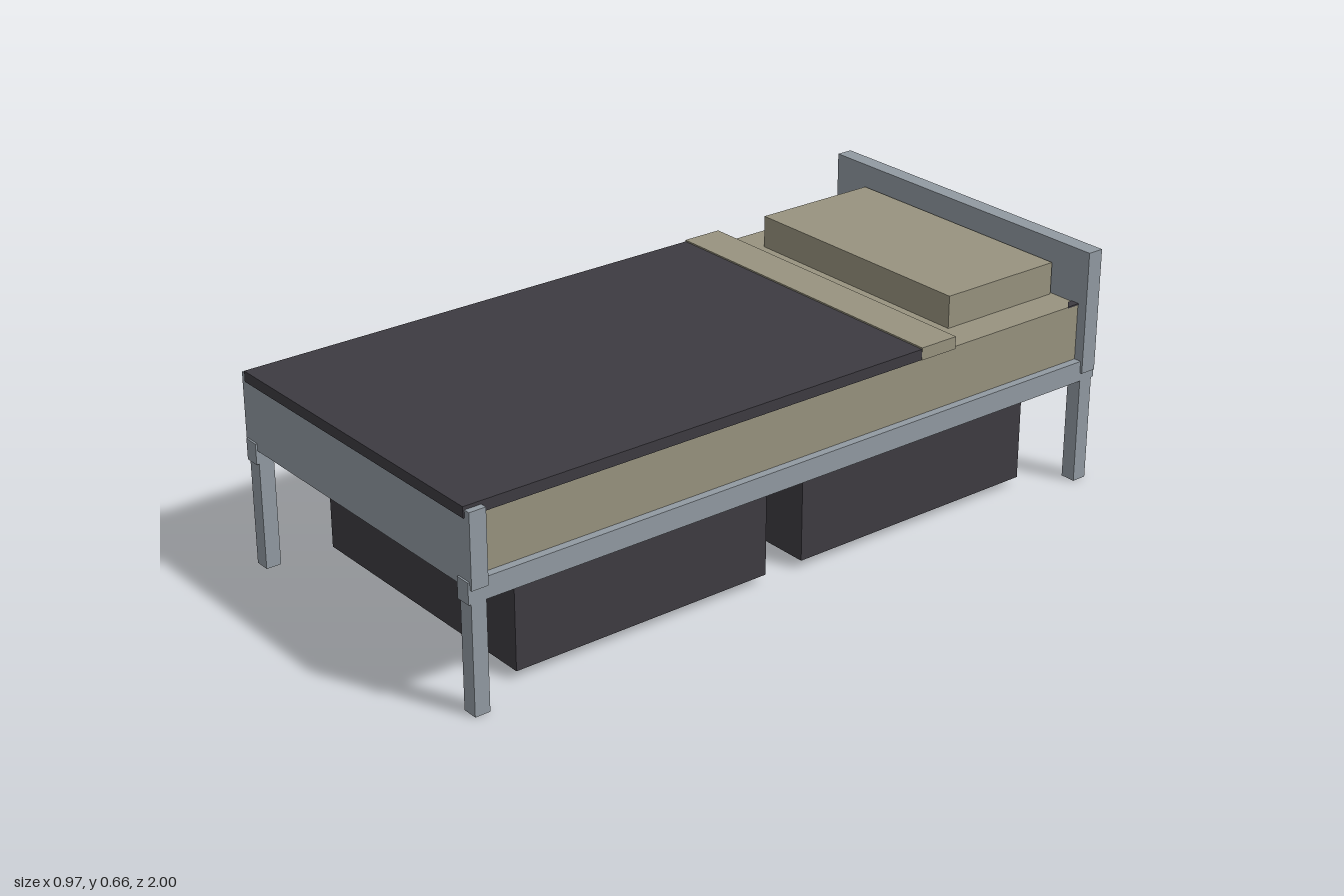
import * as THREE from 'three';

export function createModel() {
  const bed = new THREE.Group();
  bed.name = 'bed';

  const material = (name, color) => {
    const m = new THREE.MeshStandardMaterial({ color });
    m.name = name;
    return m;
  };
  const grey = material('frame grey', 0x929aa2);
  const beige = material('bedding beige', 0x98937f);
  const dark = material('charcoal', 0x3d3b41);

  // Box given by its lower and upper corners
  const box = (name, mat, [x0, y0, z0], [x1, y1, z1]) => {
    const mesh = new THREE.Mesh(new THREE.BoxGeometry(x1 - x0, y1 - y0, z1 - z0), mat);
    mesh.position.set((x0 + x1) / 2, (y0 + y1) / 2, (z0 + z1) / 2);
    mesh.name = name;
    bed.add(mesh);
    return mesh;
  };

  // Frame: end boards, side rails and legs
  box('headboard', grey, [-0.487, 0.317, -0.995], [0.487, 0.657, -0.949]);
  box('footboard', grey, [-0.487, 0.33, 0.949], [0.487, 0.527, 0.995]);
  for (const s of [-1, 1]) {
    const inner = Math.min(s * 0.437, s * 0.48);
    const outer = Math.max(s * 0.437, s * 0.48);
    box('sideRail', grey, [inner, 0.293, -1], [outer, 0.35, 1]);
    box('backLeg', grey, [inner, 0, -0.993], [outer, 0.34, -0.951]);
    box('frontLeg', grey, [inner, 0, 0.951], [outer, 0.34, 0.993]);
  }

  // Mattress and bedding
  box('mattress', beige, [-0.458, 0.345, -0.949], [0.458, 0.506, 0.949]);
  box('pillow', beige, [-0.364, 0.506, -0.942], [0.364, 0.595, -0.573]);
  box('sheetFold', beige, [-0.47, 0.506, -0.497], [0.47, 0.54, -0.382]);
  box('blanket', dark, [-0.469, 0.507, -0.382], [0.469, 0.536, 0.999]);

  // Thin triangular corner straps at the head end
  for (const s of [-1, 1]) {
    const shape = new THREE.Shape([
      new THREE.Vector2(s * 0.46, 0.949),
      new THREE.Vector2(s * 0.435, 0.949),
      new THREE.Vector2(s * 0.435, 0.935),
      new THREE.Vector2(s * 0.46, 0.91),
    ]);
    const strap = new THREE.Mesh(
      new THREE.ExtrudeGeometry(shape, { depth: 0.004, bevelEnabled: false }), dark);
    strap.rotation.x = -Math.PI / 2;
    strap.position.y = 0.504;
    strap.name = 'cornerStrap';
    bed.add(strap);
  }

  // Two storage drawers with handles on one side
  for (const z of [0.44, -0.437]) {
    box('drawer', dark, [-0.4, 0.022, z - 0.38], [0.4, 0.265, z + 0.38]);
    box('drawerHandle', grey, [-0.42, 0.14, z - 0.105], [-0.4, 0.179, z + 0.105]);
  }

  return bed;
}
